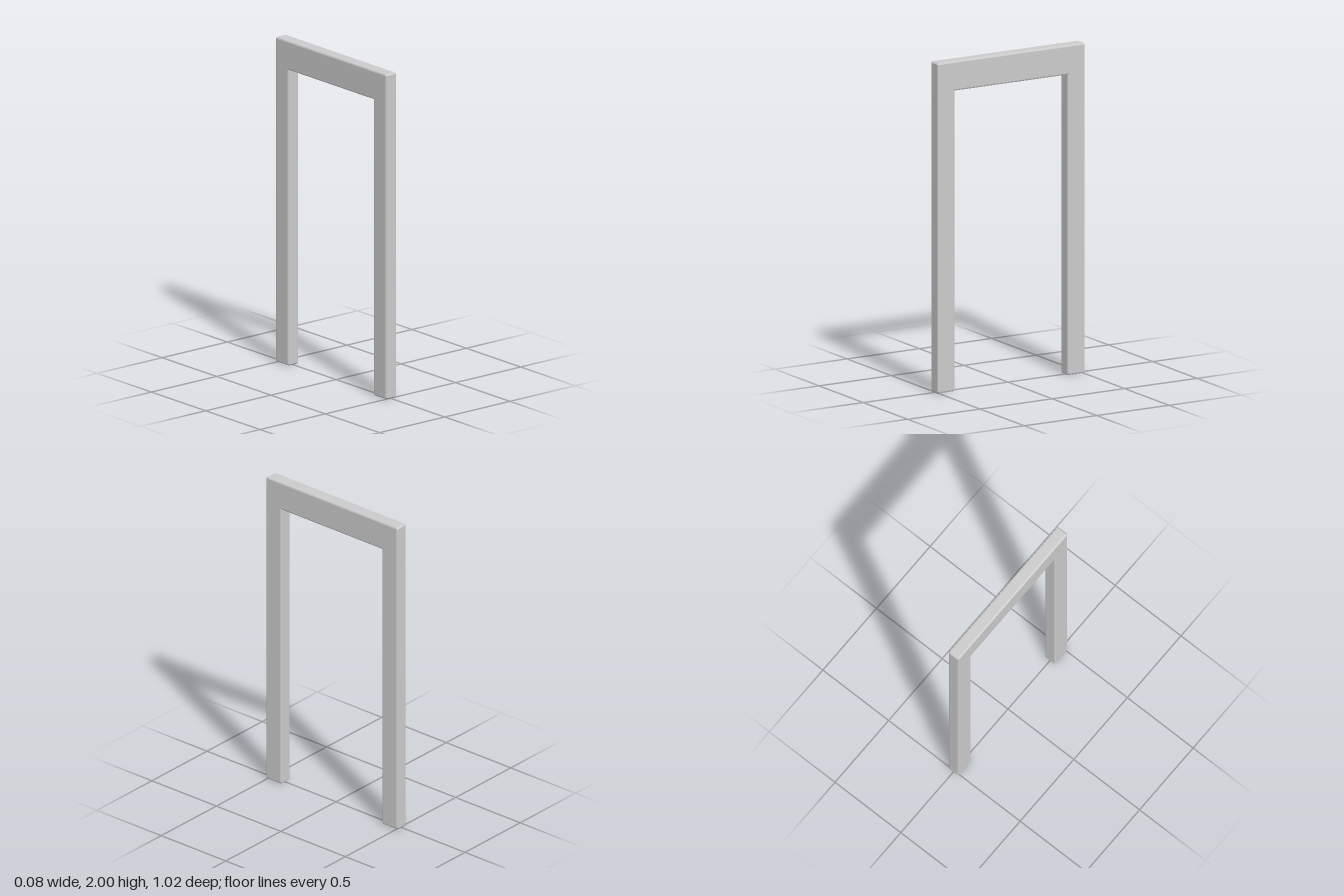
import * as THREE from 'three';

export function createModel() {
  const group = new THREE.Group();
  group.name = 'doorway';

  const halfWidth = 0.51, openHalf = 0.39, height = 2, openHeight = 1.82;
  const depth = 0.08, bevel = 0.01, c = 0.008;

  // Frame outline: two posts joined by a lintel, outer corners chamfered
  const right = [
    [openHalf, openHeight],
    [openHalf, c], [openHalf + c, 0],
    [halfWidth - c, 0], [halfWidth, c],
    [halfWidth, height - c], [halfWidth - c, height],
  ];
  const left = right.map(([x, y]) => [-x, y]).reverse();
  const outline = [...right, ...left].map(([x, y]) => new THREE.Vector2(x, y));

  // Extrude with eased edges, then turn the frame to span front to back
  const geometry = new THREE.ExtrudeGeometry(new THREE.Shape(outline), {
    depth: depth - 2 * bevel,
    bevelEnabled: true,
    bevelThickness: bevel,
    bevelSize: bevel,
    bevelOffset: -bevel,
    bevelSegments: 2,
  });
  geometry.translate(0, 0, -(depth - 2 * bevel) / 2);
  geometry.rotateY(Math.PI / 2);

  const frame = new THREE.Mesh(geometry, new THREE.MeshStandardMaterial({ color: 0xcccccc }));
  frame.name = 'doorFrame';
  group.add(frame);
  return group;
}
